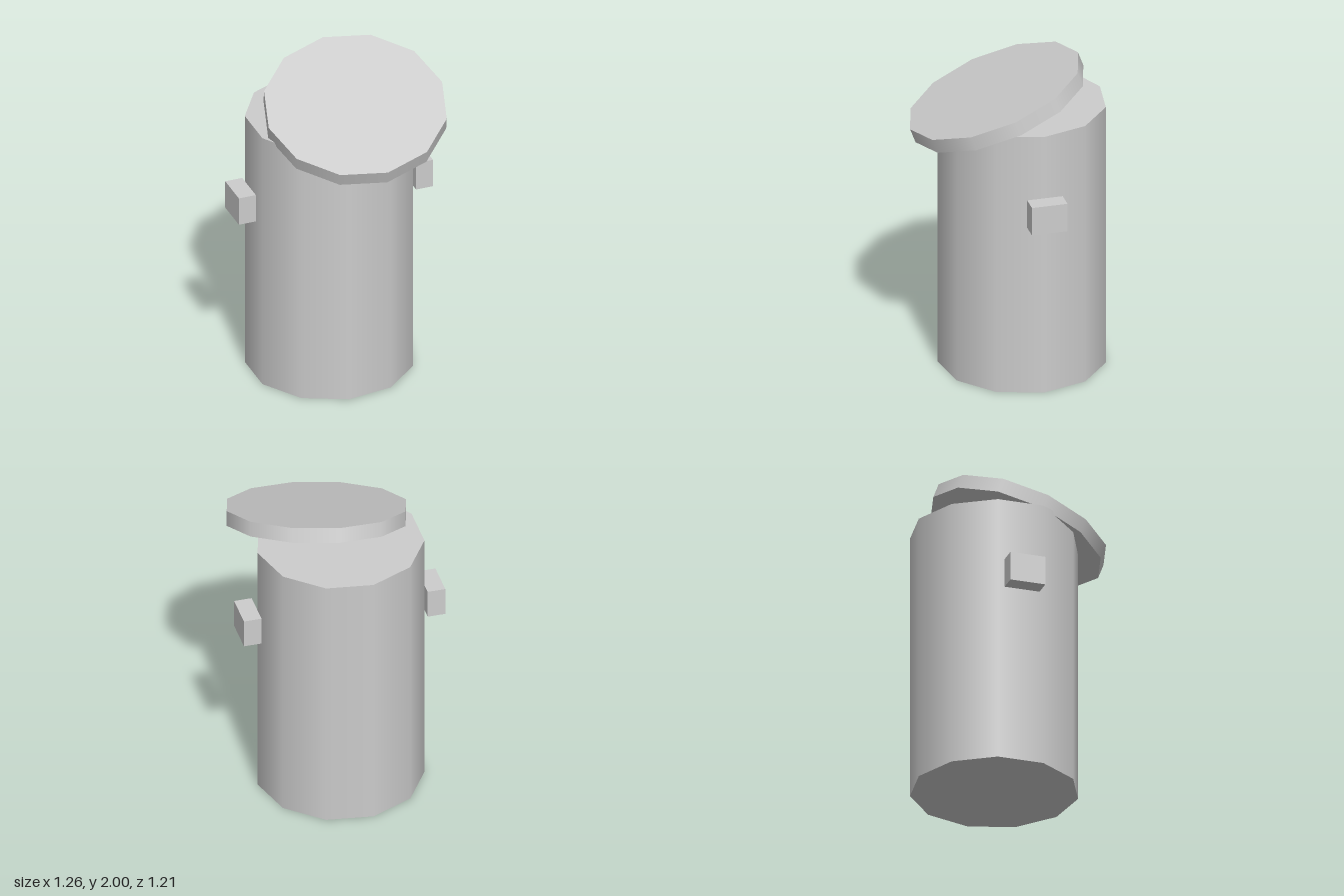
import * as THREE from 'three';

export function createModel() {
  const model = new THREE.Group();
  const metal = new THREE.MeshStandardMaterial({ color: 0xcccccc });
  metal.name = 'light grey metal';

  const add = (name, geometry, x, y, z) => {
    const mesh = new THREE.Mesh(geometry, metal);
    mesh.name = name;
    mesh.position.set(x, y, z);
    model.add(mesh);
    return mesh;
  };

  // Eleven-sided can, one corner pointing to +x
  const height = 1.68;
  add('body', new THREE.CylinderGeometry(0.5025, 0.5025, height, 11, 1, false, Math.PI / 2),
    -0.011, height / 2, -0.108);

  // Block handles on both sides
  add('leftHandle', new THREE.BoxGeometry(0.108, 0.18, 0.218), 0.552, 1.19, -0.109);
  add('rightHandle', new THREE.BoxGeometry(0.108, 0.18, 0.218), -0.576, 1.19, -0.109);

  // Twelve-sided lid, tipped forward and to one side
  const thickness = 0.09;
  const side = new THREE.Vector3(0.5475, 0.05, 0.015).normalize();
  const up = new THREE.Vector3(0.003, -0.185, 0.5125).cross(side).normalize();
  const forward = side.clone().cross(up);
  const lid = add('lid', new THREE.CylinderGeometry(0.548, 0.548, thickness, 12), 0.077, 1.815, 0.0875);
  lid.quaternion.setFromRotationMatrix(new THREE.Matrix4().makeBasis(side, up, forward));
  lid.position.addScaledVector(up, -thickness / 2);

  return model;
}
